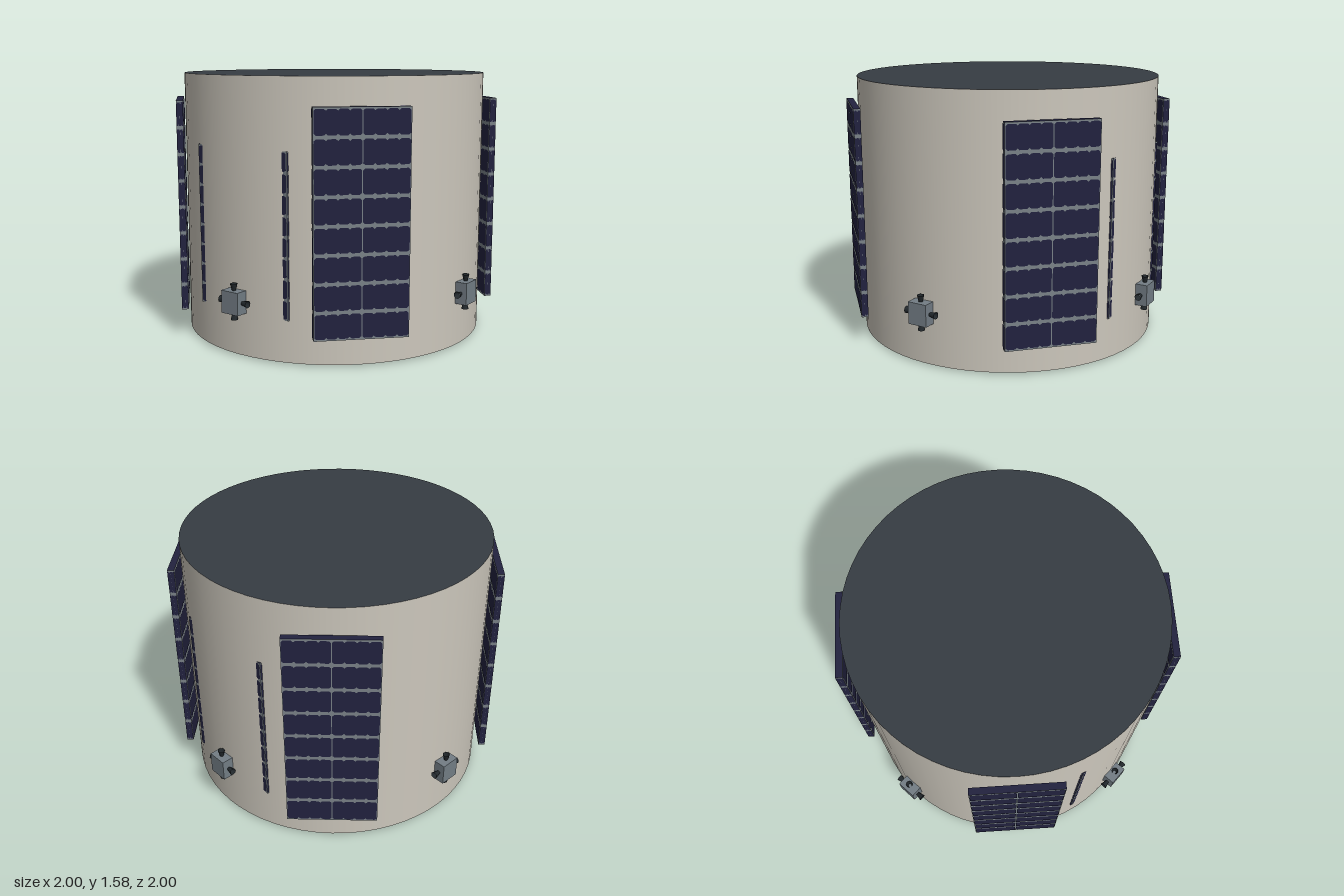
import * as THREE from 'three';

const mat = (name, color, side = THREE.FrontSide) => {
  const m = new THREE.MeshStandardMaterial({ color, side });
  m.name = name;
  return m;
};
const rad = THREE.MathUtils.degToRad;

export function createModel() {
  const wall = mat('warm grey hull', 0xccc7bc);
  const cap = mat('charcoal', 0x363c43);
  const navy = mat('solar navy', 0x22223f);
  const grid = mat('cell grid grey', 0x7a8288);
  const steel = mat('thruster grey', 0x737d85);
  const dark = mat('nozzle black', 0x22282c, THREE.DoubleSide);

  const model = new THREE.Group();
  model.name = 'satelliteBody';

  const add = (parent, name, geometry, material, x = 0, y = 0, z = 0) => {
    const mesh = new THREE.Mesh(geometry, material);
    mesh.name = name;
    mesh.position.set(x, y, z);
    parent.add(mesh);
    return mesh;
  };

  // Group turned about the y axis, whose local +z points outwards
  const spoke = (name, degrees) => {
    const g = new THREE.Group();
    g.name = name;
    g.rotation.y = rad(degrees);
    model.add(g);
    return g;
  };

  // Sheet of 8 x 8 cells with clipped corners, joined in two half-columns
  function cellSheet(w, h) {
    const cells = [];
    const n = 8, rowH = h / n, gapY = rowH * 0.06;
    const border = w * 0.008, middle = w * 0.005;
    const cw = (w / 2 - border - middle) / 4;
    const cx = cw * 0.17, cy = rowH * 0.06;
    for (let c = 0; c < n; c++) {
      const x0 = c < 4 ? -w / 2 + border + c * cw : middle + (c - 4) * cw;
      const x1 = x0 + cw;
      for (let r = 0; r < n; r++) {
        const y0 = -h / 2 + r * rowH + gapY, y1 = y0 + rowH - 2 * gapY;
        cells.push(new THREE.Shape([
          [x0 + cx, y0], [x1 - cx, y0], [x1, y0 + cy], [x1, y1 - cy],
          [x1 - cx, y1], [x0 + cx, y1], [x0, y1 - cy], [x0, y0 + cy],
        ].map(([x, y]) => new THREE.Vector2(x, y))));
      }
    }
    return new THREE.ShapeGeometry(cells);
  }

  // Solar panel: grey slab with navy ends and cells on its four upright faces
  function solarPanel(parent, w, h, d, y, r) {
    const panel = new THREE.Group();
    panel.name = 'solarPanel';
    panel.position.set(0, y, r);
    parent.add(panel);
    add(panel, 'panelSlab', new THREE.BoxGeometry(w, h, d), [grid, grid, navy, navy, grid, grid]);
    const face = cellSheet(w, h), edge = cellSheet(d, h), lift = 0.002;
    for (const s of [1, -1]) {
      const f = add(panel, 'panelCells', face, navy, 0, 0, s * (d / 2 + lift));
      f.rotation.y = s > 0 ? 0 : Math.PI;
      const e = add(panel, 'edgeCells', edge, navy, s * (w / 2 + lift), 0, 0);
      e.rotation.y = s * Math.PI / 2;
    }
  }

  // Drum hull with dark ends
  const R = 0.915;
  add(model, 'hull', new THREE.CylinderGeometry(R, R, 1.565, 64), [wall, cap, cap], 0, 0.7925, 0);

  const slab = new THREE.BoxGeometry(0.12, 0.13, 0.08);
  const bell = new THREE.CylinderGeometry(0.021, 0.01, 0.045, 10, 1, true);
  const foot = new THREE.CylinderGeometry(0.024, 0.024, 0.02, 12);

  for (let k = 0; k < 4; k++) {
    // Outer solar panels and the small feet below them
    const side = spoke('panelSide', -11 + 90 * k);
    solarPanel(side, 0.523, 1.25, 0.04, 0.795, 0.945);
    add(side, 'foot', foot, dark, 0, 0.01, 0.815);

    // Thruster blocks with a nozzle on each of four sides
    const thruster = spoke('thruster', 34 + 90 * k);
    add(thruster, 'thrusterBlock', slab, steel, 0, 0.325, 0.943);
    for (let i = 0; i < 4; i++) {
      const a = i * Math.PI / 2;
      const reach = i % 2 ? 0.079 : 0.081;
      const nozzle = add(thruster, 'nozzle', bell, dark,
        -Math.sin(a) * reach, 0.325 + Math.cos(a) * reach, 0.945);
      nozzle.rotation.z = a;
    }
  }

  // Sunken panels, whose upright edges just break through the hull
  for (const angle of [-56.2, 123.8]) {
    solarPanel(spoke('sunkenPanel', angle), 0.65, 0.93, 0.04, 0.715, 0.844);
  }
  return model;
}
